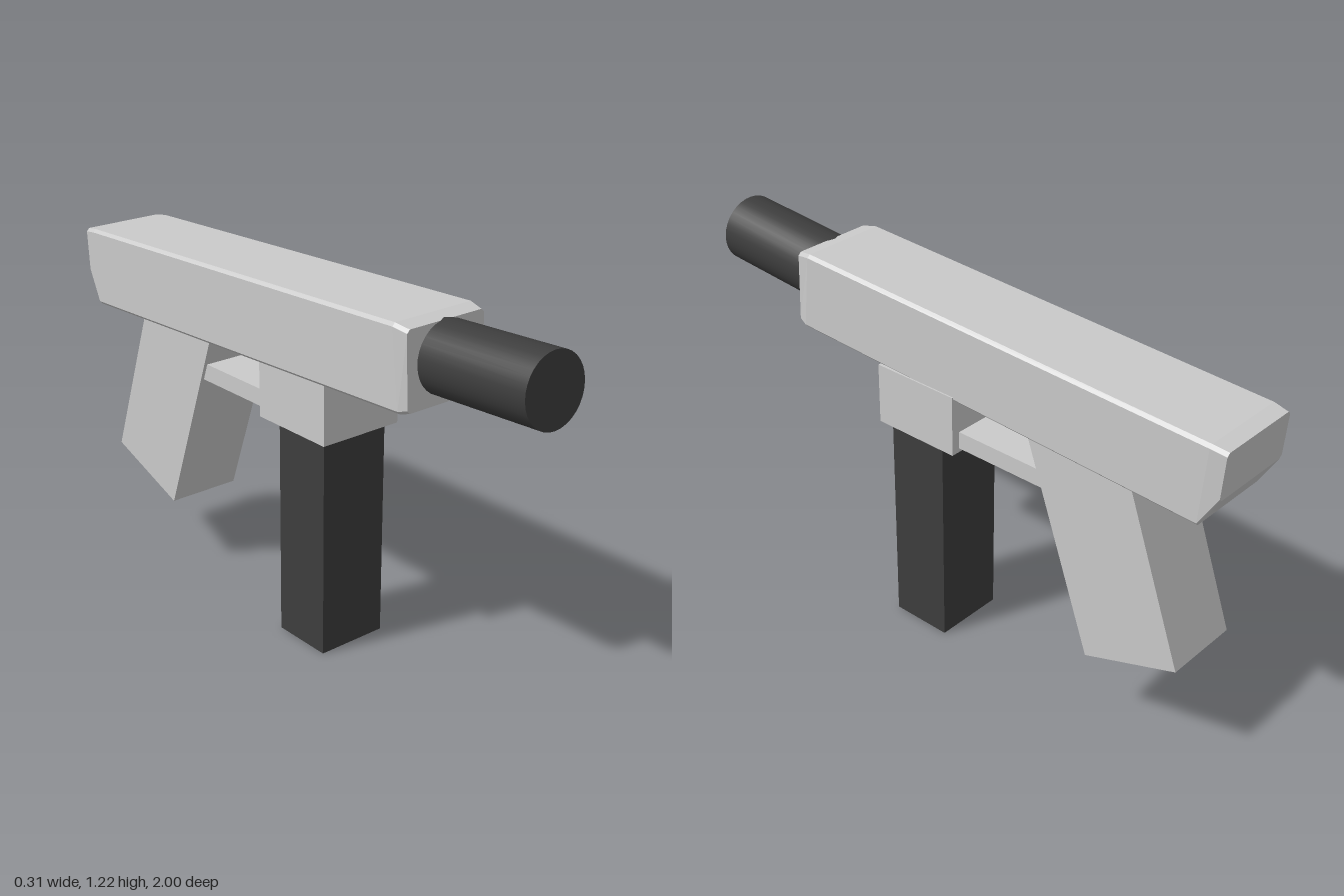
import * as THREE from 'three';

const grey = new THREE.MeshStandardMaterial({ color: 0xcacaca });
grey.name = 'light grey';
const dark = new THREE.MeshStandardMaterial({ color: 0x3d3d3d });
dark.name = 'dark grey';

// Long chamfered body: one eight-sided ring per station, front to back
function bodyGeometry() {
  const cx = -0.003, cut = 0.01;
  const stations = [
    // z and y of the top edge, z and y of the bottom edge, half width
    { zt: 0.59, yt: 1.189, zb: 0.6, yb: 0.95, w: 0.145 },
    { zt: 0.54, yt: 1.198, zb: 0.57, yb: 0.941, w: 0.153 },
    { zt: -0.95, yt: 1.134, zb: -0.93, yb: 0.875, w: 0.153 },
    { zt: -1.0, yt: 1.126, zb: -0.99, yb: 0.975, w: 0.147 },
  ];
  const rings = stations.map(({ zt, yt, zb, yb, w }) => {
    const point = (x, y) => {
      const t = (y - yb) / (yt - yb);
      return [cx + x, y, zb + (zt - zb) * t];
    };
    const v = w - cut;
    return [
      point(v, yb), point(w, yb + cut), point(w, yt - cut), point(v, yt),
      point(-v, yt), point(-w, yt - cut), point(-w, yb + cut), point(-v, yb),
    ];
  });
  const pos = [];
  const tri = (a, b, c) => pos.push(...a, ...b, ...c);
  for (let s = 0; s < rings.length - 1; s++) {
    for (let i = 0; i < 8; i++) {
      const j = (i + 1) % 8;
      const a = rings[s][i], b = rings[s][j], c = rings[s + 1][j], d = rings[s + 1][i];
      tri(a, d, c);
      tri(a, c, b);
    }
  }
  const front = rings[0], back = rings[rings.length - 1];
  for (let i = 1; i < 7; i++) {
    tri(front[0], front[i], front[i + 1]);
    tri(back[0], back[i + 1], back[i]);
  }
  const geometry = new THREE.BufferGeometry();
  geometry.setAttribute('position', new THREE.Float32BufferAttribute(pos, 3));
  geometry.computeVertexNormals();
  return geometry;
}

// Box given by its limits on each axis
function box([x0, x1], [y0, y1], [z0, z1]) {
  return new THREE.BoxGeometry(x1 - x0, y1 - y0, z1 - z0)
    .translate((x0 + x1) / 2, (y0 + y1) / 2, (z0 + z1) / 2);
}

// Side profile of [z, y] points, extruded across x
function sideExtrude(points, x0, x1) {
  const shape = new THREE.Shape(points.map(([z, y]) => new THREE.Vector2(-z, y)));
  return new THREE.ExtrudeGeometry(shape, { depth: x1 - x0, bevelEnabled: false })
    .rotateY(Math.PI / 2)
    .translate(x0, 0, 0);
}

// Cylinder between two points
function rod(from, to, radius) {
  const axis = to.clone().sub(from);
  const turn = new THREE.Quaternion().setFromUnitVectors(
    new THREE.Vector3(0, 1, 0), axis.clone().normalize());
  const mid = from.clone().add(to).multiplyScalar(0.5);
  return new THREE.CylinderGeometry(radius, radius, axis.length(), 32)
    .applyQuaternion(turn)
    .translate(mid.x, mid.y, mid.z);
}

export function createModel() {
  const model = new THREE.Group();
  const add = (name, geometry, material) => {
    const mesh = new THREE.Mesh(geometry, material);
    mesh.name = name;
    model.add(mesh);
  };

  add('body', bodyGeometry(), grey);
  add('barrel', rod(new THREE.Vector3(0, 1.079, 0.55), new THREE.Vector3(-0.01, 1.106, 0.994), 0.11), dark);
  add('magazineHousing', box([-0.138, 0.155], [0.73, 0.93], [-0.065, 0.24]), grey);
  add('magazine', box([-0.112, 0.13], [0, 0.75], [0, 0.21]), dark);
  add('triggerGuard', box([-0.105, 0.125], [0.743, 0.8], [-0.46, -0.05]), grey);
  add('grip', sideExtrude([[-0.327, 0.95], [-0.585, 0.24], [-0.905, 0.355], [-0.69, 0.95]], -0.117, 0.14), grey);

  return model;
}
